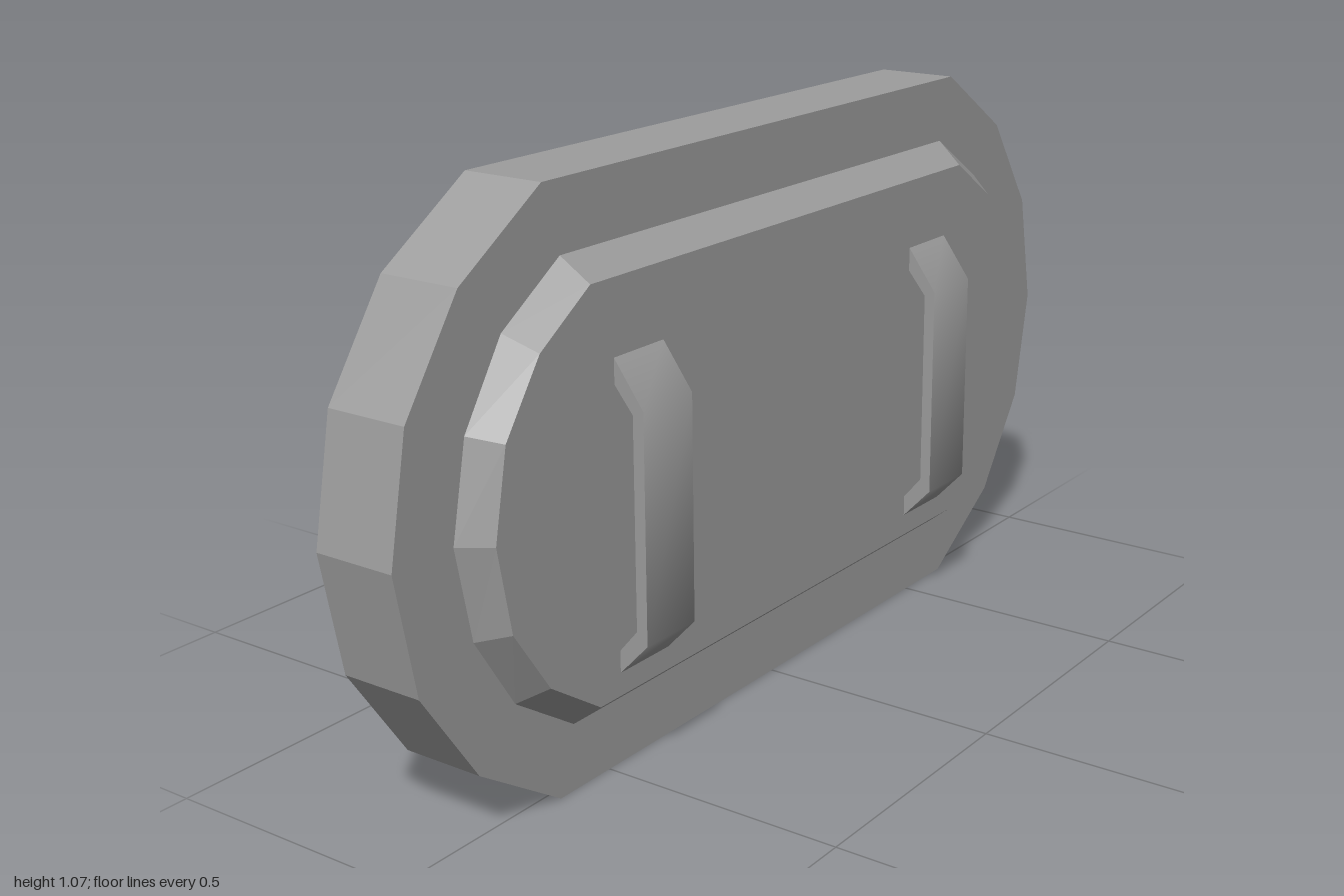
import * as THREE from 'three';
import { toCreasedNormals } from 'three/addons/utils/BufferGeometryUtils.js';

const MID = 0.536; // height of the centre line
const COLOR = 0x9d9d9d;

// Full symmetric outline (counter-clockwise) from its upper right quarter, side tip first
function outline(quarter) {
  const lower = quarter.slice(1).reverse().map(([x, y]) => [x, -y]);
  const right = [...lower, ...quarter];
  const left = [...right].reverse().map(([x, y]) => [-x, y]);
  return [...right, ...left].map(([x, y]) => new THREE.Vector2(x, y));
}

// Strips of quads between successive rings of [outline, z]
function loft(rings) {
  const pos = [];
  for (let r = 0; r < rings.length - 1; r++) {
    const [a, za] = rings[r], [b, zb] = rings[r + 1];
    for (let i = 0; i < a.length; i++) {
      const j = (i + 1) % a.length;
      const ai = [a[i].x, a[i].y + MID, za], aj = [a[j].x, a[j].y + MID, za];
      const bi = [b[i].x, b[i].y + MID, zb], bj = [b[j].x, b[j].y + MID, zb];
      pos.push(...ai, ...bi, ...bj, ...ai, ...bj, ...aj);
    }
  }
  const geo = new THREE.BufferGeometry();
  geo.setAttribute('position', new THREE.Float32BufferAttribute(pos, 3));
  geo.computeVertexNormals();
  return geo;
}

// Flat face at depth z, looking forwards or backwards
function face(points, z, back = false, hole = null) {
  const shape = new THREE.Shape(points);
  if (hole) shape.holes.push(new THREE.Path(hole));
  const geo = new THREE.ShapeGeometry(shape);
  if (back) geo.rotateY(Math.PI);
  return geo.translate(0, MID, z);
}

export function createModel() {
  const group = new THREE.Group();
  const add = (name, geo, flatShading = true) => {
    const mesh = new THREE.Mesh(geo, new THREE.MeshStandardMaterial({ color: COLOR, flatShading }));
    mesh.name = name;
    group.add(mesh);
    return mesh;
  };

  const outer = outline([[1, 0], [0.957, 0.223], [0.83, 0.408], [0.632, 0.536]]);
  const inner = outline([[0.865, 0], [0.83, 0.173], [0.738, 0.316], [0.593, 0.411]]);
  const panel = outline([[0.826, 0], [0.795, 0.16], [0.709, 0.285], [0.583, 0.369]]);
  const groove = outline([[0.82, 0], [0.797, 0.13]]);
  const back = -0.135, rim = 0.025, front = 0.078, floor = -0.004, deep = 0.025;

  // Bevelled front, rim, outer wall, back rim and recess wall
  add('frame', loft([[panel, front], [inner, rim], [outer, rim], [outer, back], [inner, back], [inner, floor]]));
  add('frontPanel', face(panel, front));

  // Recessed back with a shallow groove across the middle
  add('recessFloor', face(inner, floor, true, groove));
  add('grooveWall', loft([[groove, floor], [groove, deep]]));
  add('grooveFloor', face(groove, deep, true));

  // Two bent strap handles: (z, y) profile down the inner face and up the outer one
  const profile = [
    [0.077, 0.726], [0.115, 0.679], [0.115, 0.295], [0.077, 0.25],
    [0.077, 0.209], [0.137, 0.273], [0.137, 0.689], [0.077, 0.772],
  ];
  const strap = new THREE.Shape(profile.map(([z, y]) => new THREE.Vector2(-z, y)));
  const width = 0.132;
  for (const [name, x] of [['leftHandle', 0.462], ['rightHandle', -0.462]]) {
    const geo = new THREE.ExtrudeGeometry(strap, { depth: width, bevelEnabled: false });
    geo.translate(0, 0, -width / 2).rotateY(Math.PI / 2);
    add(name, toCreasedNormals(geo, 1.0), false).position.x = x;
  }
  return group;
}
